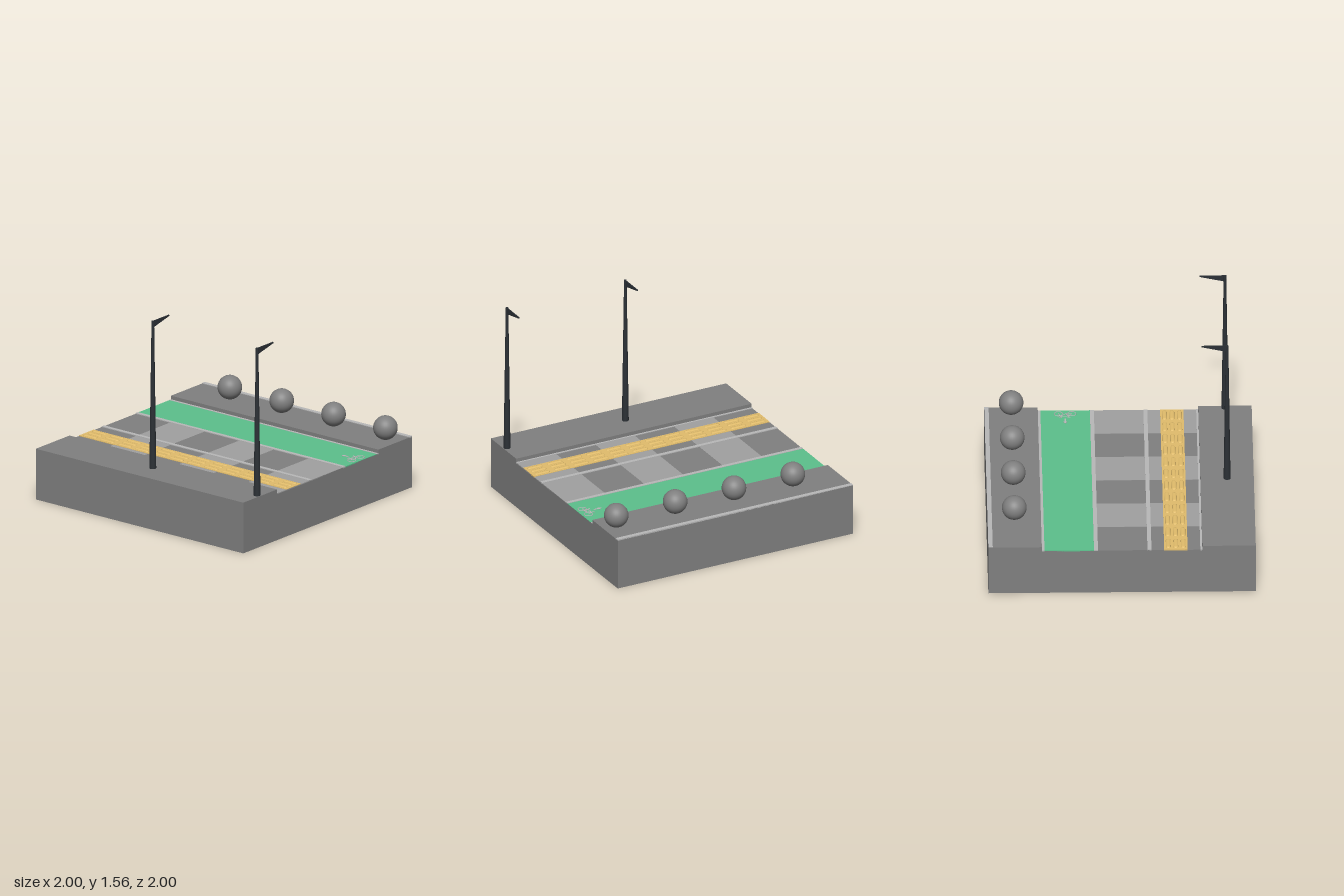
import * as THREE from 'three';

const mat = (color) => new THREE.MeshStandardMaterial({ color });

export function createModel() {
  const root = new THREE.Group();
  const base = mat(0x808080), paving = mat(0xa0a0a0), kerb = mat(0xb8b8b8);
  const green = mat(0x5cc08c), yellow = mat(0xe2bd6c), dark = mat(0x2c3136);

  const add = (name, geometry, material, x = 0, y = 0, z = 0, parent = root) => {
    const mesh = new THREE.Mesh(geometry, material);
    mesh.name = name;
    mesh.position.set(x, y, z);
    parent.add(mesh);
    return mesh;
  };
  // Flat slab given by its x range, y range and z range
  const slab = (name, material, x0, x1, y0, y1, z0 = -1, z1 = 1) =>
    add(name, new THREE.BoxGeometry(x1 - x0, y1 - y0, z1 - z0), material,
      (x0 + x1) / 2, (y0 + y1) / 2, (z0 + z1) / 2);

  // Ground block with a sunken path between two raised verges
  const road = 0.367;
  const profile = new THREE.Shape([
    [-1, 0], [1, 0], [1, 0.4], [0.6, 0.4], [0.6, road], [-0.6, road], [-0.6, 0.4], [-1, 0.4],
  ].map(([x, y]) => new THREE.Vector2(x, y)));
  const ground = new THREE.ExtrudeGeometry(profile, { depth: 2, bevelEnabled: false });
  ground.translate(0, 0, -1);
  add('ground', ground, base);

  // Light paving bands alternating with the ground
  for (let i = 0; i < 3; i++) {
    const z0 = -2 / 3 + i * 2 / 3;
    slab('pavingBand', paving, -0.59, 0.19, road - 0.005, road + 0.002, z0, z0 + 1 / 3);
  }

  // Cycle lane and edging strips
  slab('cycleLane', green, 0.21, 0.585, road - 0.005, road + 0.003);
  slab('edgeStrip', kerb, -0.6, -0.585, road - 0.005, road + 0.005);
  slab('dividerStrip', kerb, -0.22, -0.19, road - 0.005, road + 0.006);
  slab('dividerStrip', kerb, 0.18, 0.21, road - 0.005, road + 0.006);
  slab('edgeStrip', kerb, 0.58, 0.6, road - 0.005, road + 0.005);
  slab('outerKerb', kerb, 0.967, 1, 0.395, 0.405);

  // Tactile paving: a yellow strip with three rows of rounded bars
  slab('tactileStrip', yellow, -0.49, -0.315, road - 0.005, road + 0.005);
  const barGeometry = new THREE.CapsuleGeometry(0.019, 0.09, 4, 10);
  barGeometry.rotateX(Math.PI / 2).scale(1, 0.45, 1);
  for (let row = 0; row < 12; row++) {
    for (let col = 0; col < 3; col++) {
      add('tactileBar', barGeometry, yellow,
        -0.4025 + (col - 1) * 0.056, road + 0.004, -1 + (row + 0.5) / 6);
    }
  }

  // Cycle symbol and direction arrow painted on the lane
  const symbol = new THREE.Group();
  symbol.name = 'cycleSymbol';
  symbol.position.set(0.396, road + 0.004, 0.95);
  root.add(symbol);
  const bar = (name, x0, z0, x1, z1, width = 0.006) => {
    const length = Math.hypot(x1 - x0, z1 - z0);
    const mesh = add(name, new THREE.BoxGeometry(length, 0.004, width), kerb,
      (x0 + x1) / 2, 0, (z0 + z1) / 2, symbol);
    mesh.rotation.y = -Math.atan2(z1 - z0, x1 - x0);
  };
  for (const x of [-0.05, 0.05]) {
    const wheel = new THREE.TorusGeometry(0.031, 0.0035, 6, 28).rotateX(Math.PI / 2);
    add('wheel', wheel, kerb, x, 0, 0, symbol);
  }
  const frame = [
    [-0.05, 0, -0.025, -0.035], [-0.05, 0, -0.005, 0], [-0.005, 0, -0.03, -0.05],
    [-0.005, 0, 0.033, -0.035], [-0.025, -0.035, 0.033, -0.035],
    [0.05, 0, 0.028, -0.055], [0.028, -0.055, 0.045, -0.055], [-0.04, -0.05, -0.018, -0.05],
  ];
  frame.forEach((p) => bar('frameBar', ...p));
  bar('arrowStem', 0, -0.072, 0, -0.115, 0.012);
  const headShape = new THREE.Shape([
    new THREE.Vector2(-0.019, 0.11), new THREE.Vector2(0.019, 0.11), new THREE.Vector2(0, 0.138),
  ]);
  const head = new THREE.ExtrudeGeometry(headShape, { depth: 0.004, bevelEnabled: false });
  head.rotateX(-Math.PI / 2);
  add('arrowHead', head, kerb, 0, -0.002, 0, symbol);

  // Stone balls on the right-hand verge
  const ball = new THREE.SphereGeometry(0.0925, 32, 20);
  for (let i = 0; i < 4; i++) add('ball', ball, base, 0.8, 0.502, 0.905 - i * 0.5);

  // Tapered lamp posts with a thin wedge arm reaching over the path
  const armShape = new THREE.Shape([
    [-0.01, 1.51], [0.0, 1.51], [0.19, 1.552], [0.19, 1.561], [-0.01, 1.561],
  ].map(([x, y]) => new THREE.Vector2(x, y)));
  const arm = new THREE.ExtrudeGeometry(armShape, { depth: 0.008, bevelEnabled: false });
  arm.translate(0, 0, -0.004);
  for (const z of [0.97, -0.035]) {
    const lamp = new THREE.Group();
    lamp.name = 'lampPost';
    lamp.position.set(-0.8, 0, z);
    root.add(lamp);
    add('post', new THREE.CylinderGeometry(0.01, 0.026, 1.163, 16), dark, 0, 0.98, 0, lamp);
    add('arm', arm, dark, 0, 0, 0, lamp);
  }

  return root;
}
